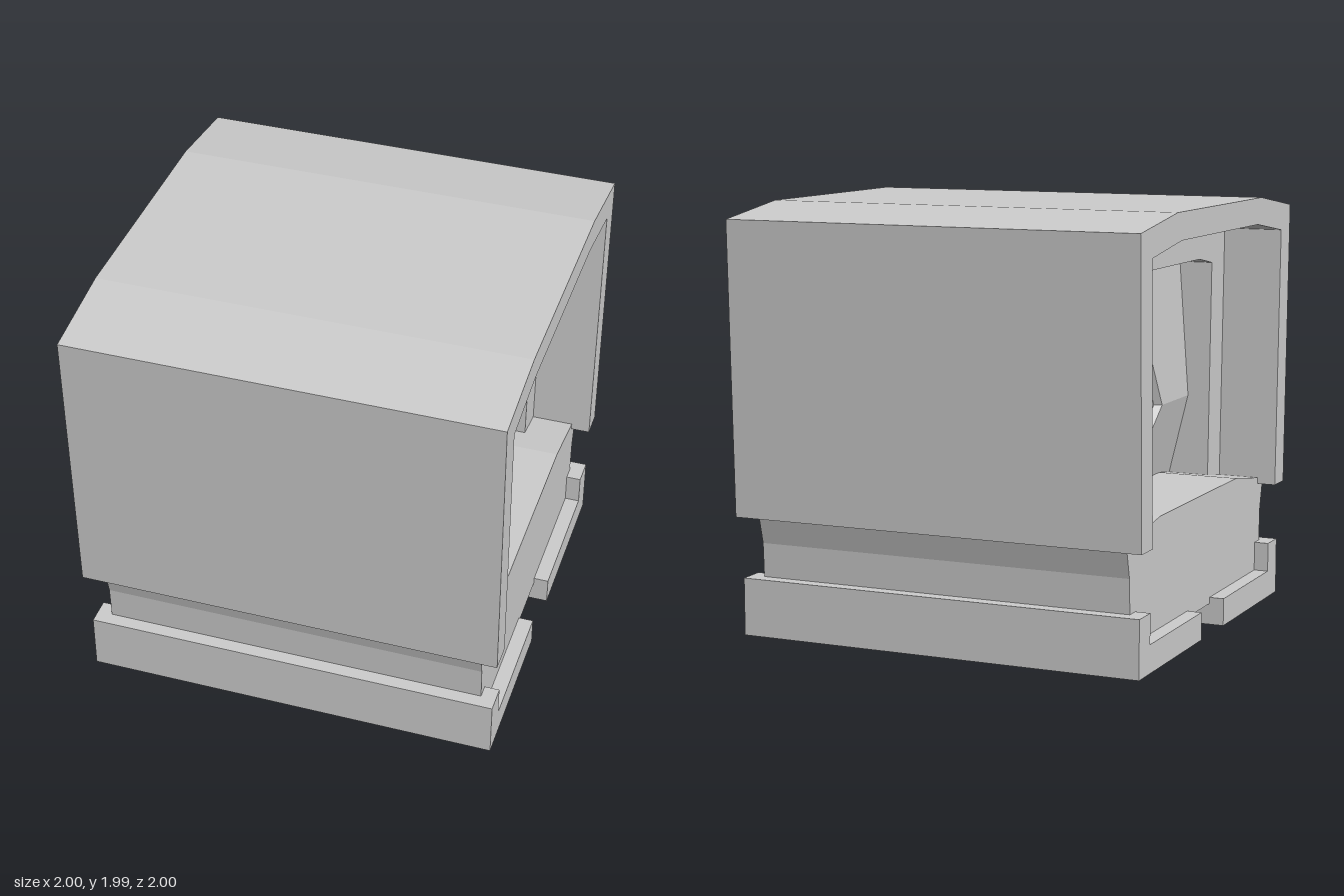
import * as THREE from 'three';

const material = new THREE.MeshStandardMaterial({ color: 0xcccccc, flatShading: true });

// Mirror a half outline, listed from its bottom right to its top right, into a closed counter-clockwise one
const mirrored = (half) => [...half, ...half.map(([u, y]) => [-u, y]).reverse()];
const toShape = (pts) => new THREE.Shape(pts.map(([u, y]) => new THREE.Vector2(u, y)));

function addMesh(parent, name, geometry) {
  geometry.rotateY(Math.PI / 2); // profiles are drawn across the depth and run along x
  const mesh = new THREE.Mesh(geometry, material);
  mesh.name = name;
  parent.add(mesh);
  return mesh;
}

// Prism with the given cross-section, centred on x = 0
function addPrism(parent, name, pts, halfLength) {
  const geo = new THREE.ExtrudeGeometry(toShape(pts), { depth: halfLength * 2, bevelEnabled: false });
  return addMesh(parent, name, geo.translate(0, 0, -halfLength));
}

// Arch cross-section: an outer half outline with an inner half outline cut away
const arch = (outer, inner) => [
  ...outer, ...outer.map(([u, y]) => [-u, y]).reverse(),
  ...inner.map(([u, y]) => [-u, y]), ...[...inner].reverse(),
];

// The end wall bulges outward along a horizontal crease
const CREASE = 1.005;
const wallAt = (y) => 0.6 - (y > CREASE ? (y - CREASE) * 0.084 : (CREASE - y) * 0.235);

// Flat panel laid onto the creased wall, sunk by a depth
function addPanel(parent, name, pts, depth, hole) {
  const shape = toShape(pts);
  if (hole) shape.holes.push(toShape(hole));
  const geo = new THREE.ShapeGeometry(shape);
  const p = geo.attributes.position;
  for (let i = 0; i < p.count; i++) p.setZ(i, wallAt(p.getY(i)) - depth);
  geo.computeVertexNormals();
  addMesh(parent, name, geo);
}

// Inward-facing rim joining two outlines at different depths
function addRim(parent, name, a, depthA, b, depthB) {
  const v = [];
  const at = ([u, y], d) => [u, y, wallAt(y) - d];
  a.forEach((_, i) => {
    const j = (i + 1) % a.length;
    const a0 = at(a[i], depthA), a1 = at(a[j], depthA), b0 = at(b[i], depthB), b1 = at(b[j], depthB);
    v.push(...a0, ...a1, ...b1, ...a0, ...b1, ...b0);
  });
  const geo = new THREE.BufferGeometry();
  geo.setAttribute('position', new THREE.Float32BufferAttribute(v, 3));
  geo.computeVertexNormals();
  addMesh(parent, name, geo);
}

function createEndWall() {
  const wall = new THREE.Group();
  const hexDepth = 0.035, windowDepth = 0.085;
  const hexOuter = [[0.15, 0.725], [0.315, CREASE], [0.12, 1.465]];
  const hexInner = [[0.145, 0.745], [0.295, CREASE], [0.11, 1.445]];
  const trapezoid = mirrored([[0.205, 1.065], [0.07, 1.39]]);
  const [low, mid, high] = hexOuter;

  // Wall surface above and below the crease, notched for the hexagonal recess
  addPanel(wall, 'upperWall', [
    mid, [0.75, CREASE], [0.75, 1.75], [-0.75, 1.75], [-0.75, CREASE],
    [-mid[0], mid[1]], [-high[0], high[1]], high,
  ], 0);
  addPanel(wall, 'lowerWall', [
    [-0.75, CREASE], [-0.75, 0.56], [0.75, 0.56], [0.75, CREASE],
    mid, low, [-low[0], low[1]], [-mid[0], mid[1]],
  ], 0);

  // Hexagonal recess and the smaller trapezoid sunk into it
  addRim(wall, 'hexagonRim', mirrored(hexOuter), 0, mirrored(hexInner), hexDepth);
  addPanel(wall, 'hexagonUpperFloor', mirrored(hexInner.slice(1)), hexDepth, trapezoid);
  addPanel(wall, 'hexagonLowerFloor', mirrored(hexInner.slice(0, 2)), hexDepth);
  addRim(wall, 'trapezoidRim', trapezoid, hexDepth, trapezoid, windowDepth);
  addPanel(wall, 'trapezoidFloor', trapezoid, windowDepth);
  return wall;
}

export function createModel() {
  const model = new THREE.Group();

  // Outer hood and the stepped inner frame
  addPrism(model, 'outerHood', arch(
    [[0.96, 0.56], [1, 1.93], [0.56, 1.99]],
    [[0.83, 0.56], [0.865, 1.815], [0.51, 1.865]]), 1);
  addPrism(model, 'innerFrame', arch(
    [[0.84, 0.5], [0.875, 1.82], [0.51, 1.875]],
    [[0.655, 0.5], [0.685, 1.66], [0.51, 1.69]]), 0.71);

  // Lower body with a sloped sill on top
  addPrism(model, 'lowerBody', mirrored(
    [[0.865, 0.1], [0.865, 0.27], [0.872, 0.43], [0.905, 0.56], [0.83, 0.59], [0.51, 0.64]]), 0.91);

  // Two L-shaped base rails with a slot between them
  const rail = [[0.15, 0], [0.93, 0], [0.93, 0.27], [0.8, 0.27], [0.8, 0.13], [0.15, 0.13]];
  addPrism(model, 'frontBaseRail', rail.map(([u, y]) => [-u, y]).reverse(), 0.98);
  addPrism(model, 'backBaseRail', rail, 0.98);

  // Recessed walls at both ends
  for (const [name, turn] of [['leftEndWall', 0], ['rightEndWall', Math.PI]]) {
    const wall = createEndWall();
    wall.name = name;
    wall.rotation.y = turn;
    model.add(wall);
  }
  return model;
}
